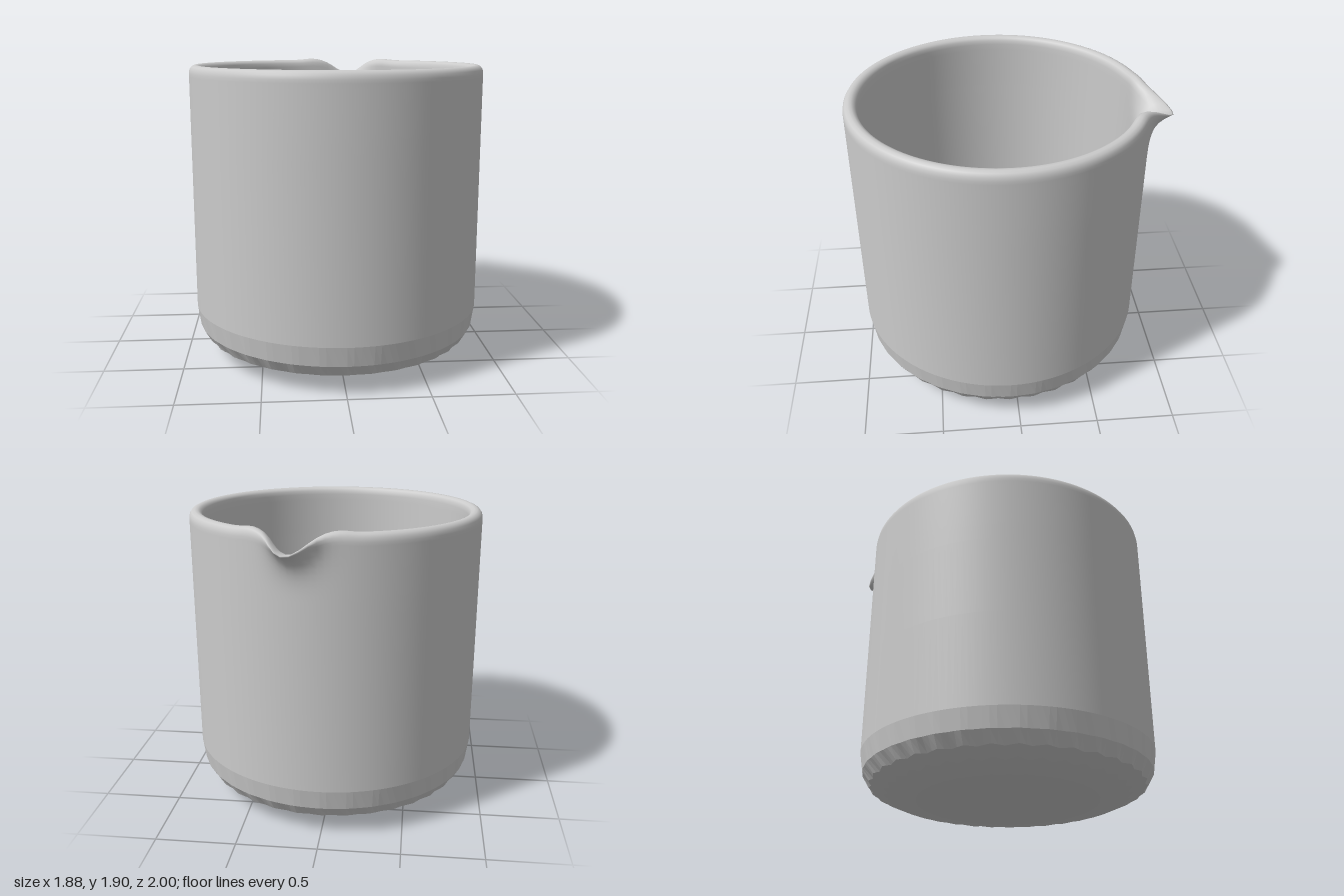
import * as THREE from 'three';
import { mergeVertices } from 'three/addons/utils/BufferGeometryUtils.js';

const SEGMENTS = 144;
const LOBES = 36;
const SPOUT_ANGLE = 0.16; // offset of the spout from straight back, towards +x
const CENTRE_Z = 0.06;

// Lathe a profile, then move every vertex by a rule on (radius, y, angle from the back)
function turned(profile, rule, flat) {
  let geo = new THREE.LatheGeometry(profile.map(([r, y]) => new THREE.Vector2(r, y)), SEGMENTS);
  geo.deleteAttribute('uv');
  geo.deleteAttribute('normal');
  const pos = geo.attributes.position;
  for (let i = 0; i < pos.count; i++) {
    const x = pos.getX(i), z = pos.getZ(i);
    const angle = Math.atan2(x, -z);
    const [r, y] = rule(Math.hypot(x, z), pos.getY(i), angle);
    pos.setXYZ(i, r * Math.sin(angle), y, -r * Math.cos(angle));
  }
  geo = mergeVertices(geo, 1e-5); // closes the seam so shading is continuous
  geo.computeVertexNormals();
  return new THREE.Mesh(geo, new THREE.MeshStandardMaterial({
    color: 0xcccccc, flatShading: flat, side: THREE.DoubleSide,
  }));
}

// Pull the rim outwards and down into a pouring lip, with a slight swell either side
function spout(r, y, angle) {
  const f = Math.pow(Math.max(0, (y - 1.5) / 0.39), 3);
  const d = angle - SPOUT_ANGLE;
  const bell = (v, s) => Math.exp(-((v / s) ** 2) / 2);
  const out = 0.165 * f * bell(d, 0.1);
  const drop = 0.105 * f * bell(d, 0.09);
  const swell = 0.01 * f * bell(Math.abs(d) - 0.29, 0.06);
  return [r + out, y - drop + swell];
}

// Scallop the rounded corner of the base
function scallop(r, y, angle) {
  const k = Math.max(0, 1 - Math.abs(r - 0.8) / 0.13);
  const wave = Math.cos(LOBES * angle);
  return [r * (1 + 0.025 * k * wave), y + 0.008 * k * wave];
}

export function createModel() {
  const group = new THREE.Group();
  group.name = 'beaker';

  // Walls: up the outside, over the rounded rim, down the inside
  const wall = [[0.94, 0.32], [0.94, 0.9], [0.94, 1.4]];
  for (let y = 1.5; y < 1.83; y += 0.04) wall.push([0.94, y]);
  wall.push([0.94, 1.84], [0.936, 1.863], [0.924, 1.881], [0.905, 1.89], [0.885, 1.889],
    [0.868, 1.88], [0.858, 1.865], [0.855, 1.84]);
  for (let y = 1.8; y > 1.49; y -= 0.04) wall.push([0.855, y]);
  wall.push([0.855, 0.9], [0.855, 0.32]);
  const walls = turned(wall, spout, false);
  walls.name = 'wallsAndSpout';

  // Faceted underside, rising gently from the centre to the scalloped corner
  const underside = turned([[0, 0], [0.3, 0.02], [0.58, 0.045], [0.77, 0.075], [0.87, 0.12],
    [0.92, 0.195], [0.94, 0.32]], scallop, true);
  underside.name = 'base';

  // Matching faceted floor inside
  const floor = turned([[0.855, 0.32], [0.838, 0.23], [0.79, 0.165], [0.68, 0.125],
    [0.4, 0.1], [0, 0.08]], scallop, true);
  floor.name = 'innerFloor';

  for (const part of [walls, underside, floor]) {
    part.position.z = CENTRE_Z;
    group.add(part);
  }
  return group;
}
